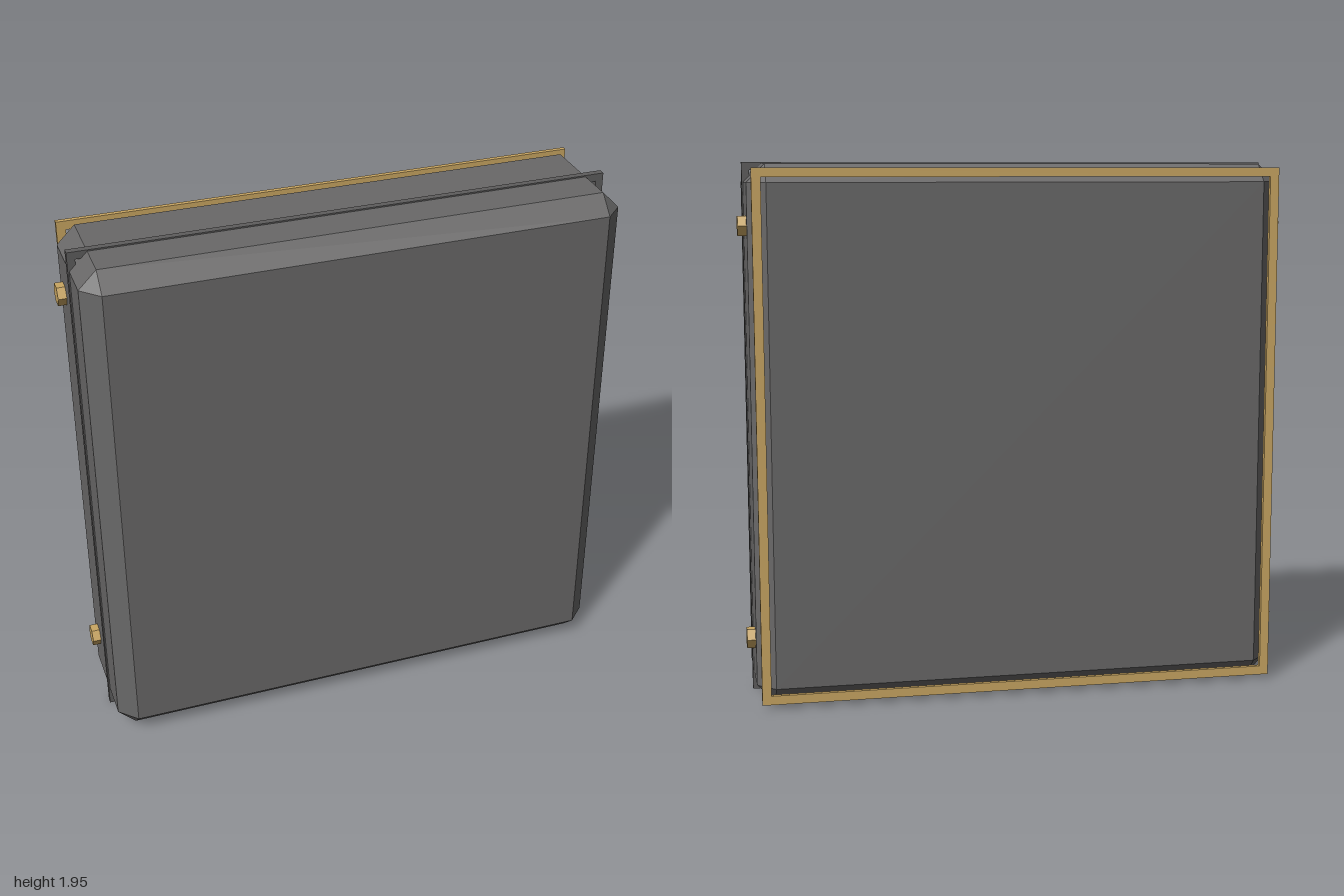
import * as THREE from 'three';
import { ConvexGeometry } from 'three/addons/geometries/ConvexGeometry.js';

const graphite = new THREE.MeshStandardMaterial({ color: 0x696868 });
graphite.name = 'graphite';
const darkGraphite = new THREE.MeshStandardMaterial({ color: 0x5e5d5d });
darkGraphite.name = 'dark graphite';
const brass = new THREE.MeshStandardMaterial({ color: 0xc9a662 });
brass.name = 'brass';

const MID_Y = 0.975;

function part(name, geometry, material, x, y, z) {
  const mesh = new THREE.Mesh(geometry, material);
  mesh.name = name;
  mesh.position.set(x, y, z);
  return mesh;
}

// Box with every edge cut at 45 degrees and a triangle at each corner
function chamferedBox(w, h, d, c) {
  const points = [];
  for (const sx of [-1, 1]) for (const sy of [-1, 1]) for (const sz of [-1, 1]) {
    for (let face = 0; face < 3; face++) {
      points.push(new THREE.Vector3(
        sx * (w / 2 - (face === 0 ? 0 : c)),
        sy * (h / 2 - (face === 1 ? 0 : c)),
        sz * (d / 2 - (face === 2 ? 0 : c))));
    }
  }
  return new ConvexGeometry(points);
}

// Square-cornered frame around the z axis, centred on its depth
function frame(halfW, halfH, bar, depth) {
  const rect = (Type, a, b) => new Type([
    new THREE.Vector2(-a, -b), new THREE.Vector2(a, -b),
    new THREE.Vector2(a, b), new THREE.Vector2(-a, b)]);
  const shape = rect(THREE.Shape, halfW, halfH);
  shape.holes.push(rect(THREE.Path, halfW - bar, halfH - bar));
  const geometry = new THREE.ExtrudeGeometry(shape, { depth, bevelEnabled: false });
  return geometry.translate(0, 0, -depth / 2);
}

export function createModel() {
  const model = new THREE.Group();
  model.name = 'panelCase';

  // Case and the raised seam around it
  model.add(part('caseBody', chamferedBox(1.94, 1.94, 0.483, 0.065), graphite, 0, MID_Y, 0.0085));
  model.add(part('seamBand', frame(0.975, MID_Y, 0.028, 0.025), darkGraphite, 0, MID_Y, 0.032));

  // Trim just behind the back panel
  model.add(part('backTrim', frame(0.957, 0.957, 0.033, 0.017), brass, 0, MID_Y, -0.2415));

  // Hexagonal bolts on both sides
  const bolt = new THREE.CylinderGeometry(0.04, 0.04, 0.06, 6).toNonIndexed();
  bolt.computeVertexNormals();
  bolt.rotateZ(Math.PI / 2);
  for (const side of [-1, 1]) {
    for (const y of [0.232, 1.728]) {
      model.add(part(side > 0 ? 'leftBolt' : 'rightBolt', bolt, brass, side * 0.97, y, -0.1));
    }
  }
  return model;
}
